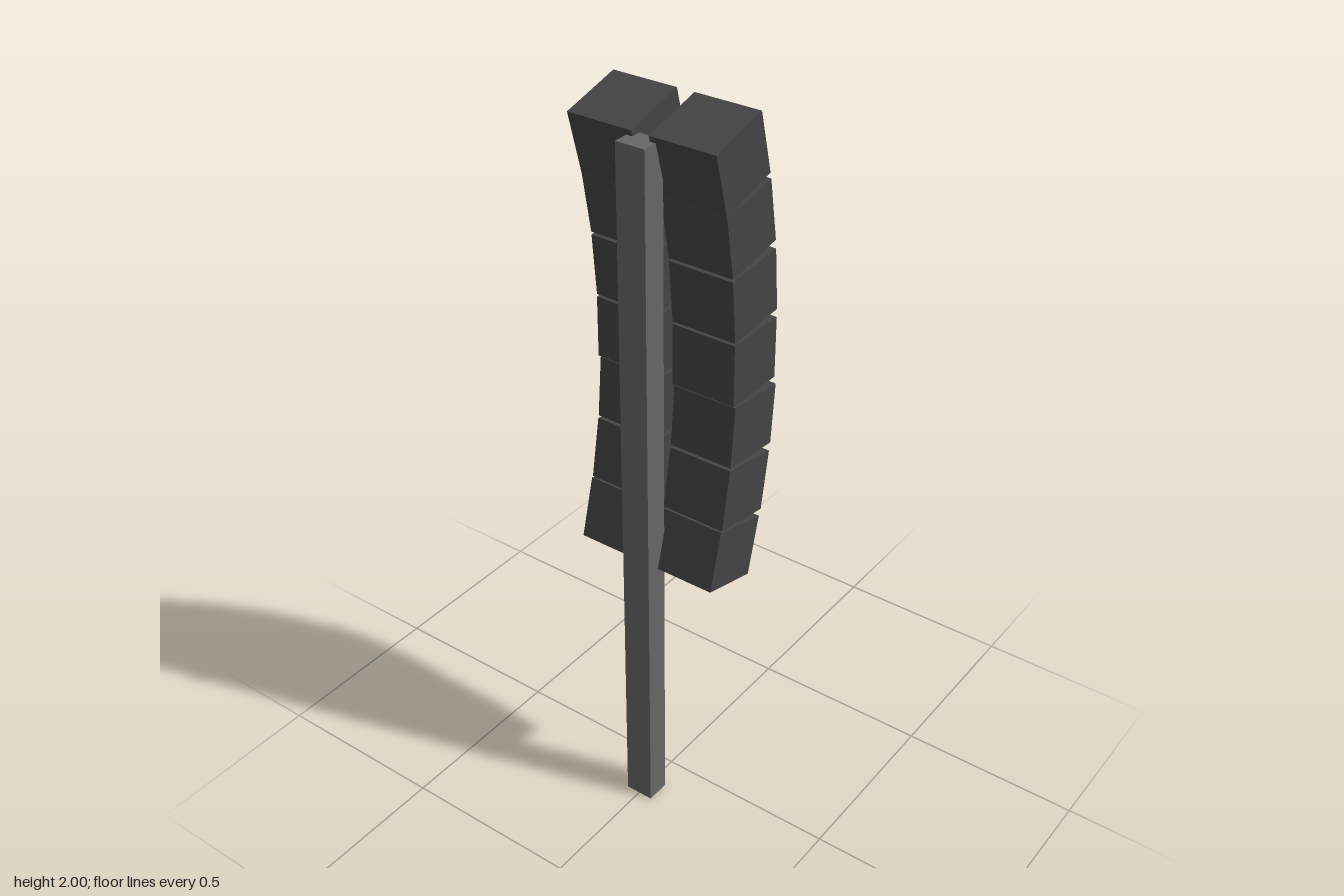
import * as THREE from 'three';

const W = 0.179, H = 0.165, D = 0.174; // cabinet size
const RIM = 0.0195, RECESS = 0.01;

const mat = (color) => new THREE.MeshStandardMaterial({ color });

function add(parent, name, geometry, material, x = 0, y = 0, z = 0) {
  const mesh = new THREE.Mesh(geometry, material);
  mesh.name = name;
  mesh.position.set(x, y, z);
  parent.add(mesh);
  return mesh;
}

function rect(path, w, h) {
  path.moveTo(-w / 2, -h / 2);
  path.lineTo(w / 2, -h / 2);
  path.lineTo(w / 2, h / 2);
  path.lineTo(-w / 2, h / 2);
  path.closePath();
  return path;
}

export function createModel() {
  const model = new THREE.Group();
  model.name = 'lineArraySpeaker';
  const caseMat = mat(0x444444), panelMat = mat(0x333333);
  const badgeMat = mat(0x888888), postMat = mat(0x666666);

  // Shared cabinet geometry: solid body, raised rim, recessed panel, small square
  const bodyGeo = new THREE.BoxGeometry(W, H, D - RECESS);
  const rimShape = rect(new THREE.Shape(), W, H);
  rimShape.holes.push(rect(new THREE.Path(), W - 2 * RIM, H - 2 * RIM));
  const rimGeo = new THREE.ExtrudeGeometry(rimShape, { depth: RECESS, bevelEnabled: false });
  const panelGeo = new THREE.BoxGeometry(W - 2 * RIM, H - 2 * RIM, 0.002);
  const badgeGeo = new THREE.BoxGeometry(0.027, 0.027, 0.004);

  function cabinet() {
    const g = new THREE.Group();
    g.name = 'cabinet';
    add(g, 'cabinetBody', bodyGeo, caseMat, 0, 0, RECESS / 2);
    add(g, 'cabinetRim', rimGeo, caseMat, 0, 0, -D / 2);
    add(g, 'speakerPanel', panelGeo, panelMat, 0, 0, -D / 2 + RECESS);
    add(g, 'panelSquare', badgeGeo, badgeMat, 0, 0, -D / 2 + RECESS - 0.001);
    return g;
  }

  // Support post
  add(model, 'post', new THREE.BoxGeometry(0.08, 1.94, 0.067), postMat, 0, 0.97, 0.1185);

  // Two curved columns of cabinets: [height, depth position, tilt in degrees]
  const stack = [
    [1.898, 0.010, 15], [1.729, -0.028, 10], [1.55, -0.051, 5], [1.371, -0.058, 0],
    [1.191, -0.0585, -5], [1.013, -0.034, -10], [0.842, 0.007, -15],
  ];
  for (const side of [-1, 1]) {
    const column = new THREE.Group();
    column.name = side > 0 ? 'leftColumn' : 'rightColumn';
    for (const [y, z, tilt] of stack) {
      const c = cabinet();
      c.position.set(side * 0.1135, y, z);
      c.rotation.x = THREE.MathUtils.degToRad(tilt);
      column.add(c);
    }
    model.add(column);
  }
  return model;
}
